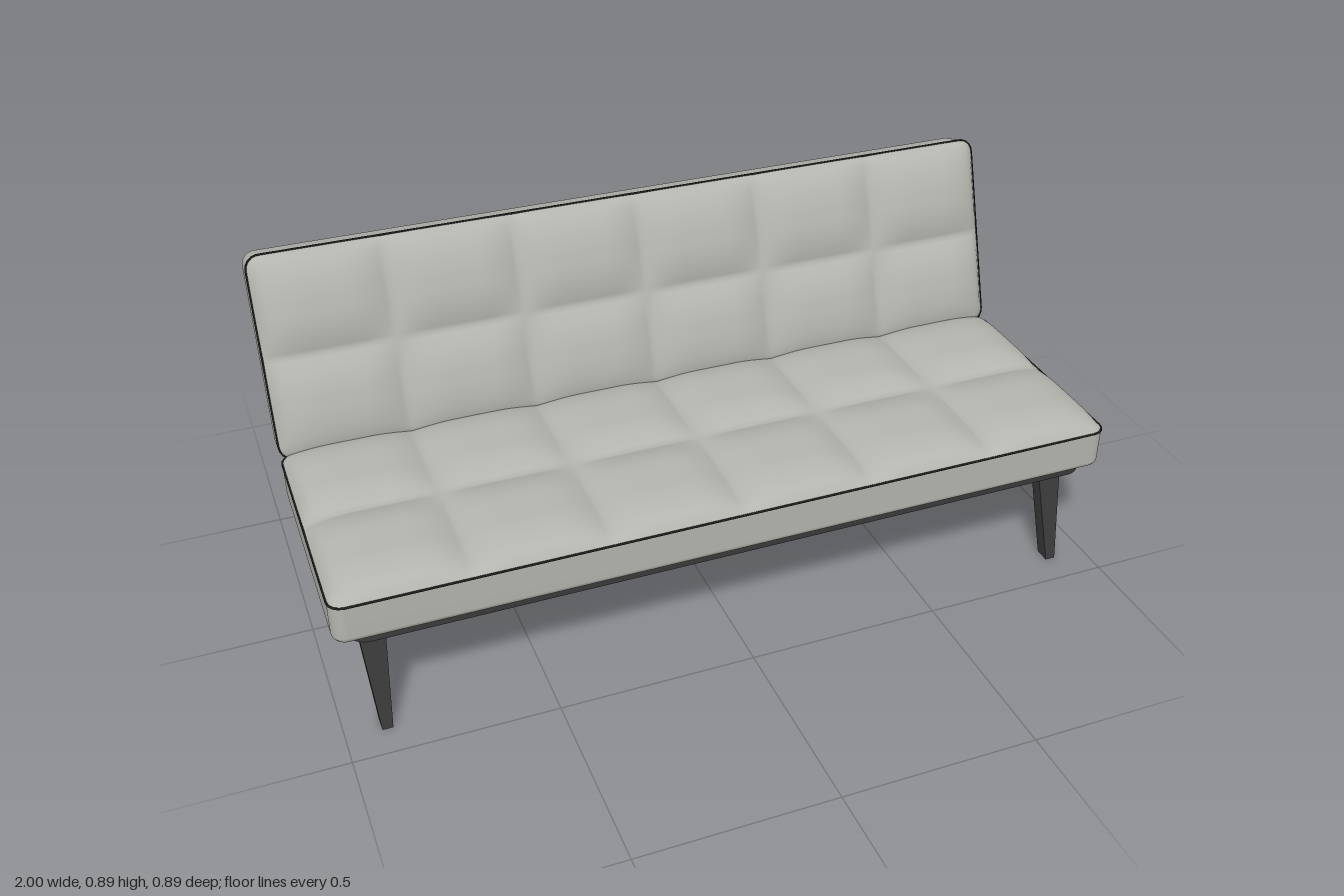
import * as THREE from 'three';
import { toCreasedNormals } from 'three/addons/utils/BufferGeometryUtils.js';

const W = 0.997;      // cushion half width
const R = 0.035;      // cushion corner radius in plan
const THICK = 0.105;  // cushion thickness below the piping

// Rounded rectangle centred on the origin, from half sizes
function roundedRect(a, b, r) {
  const s = new THREE.Shape();
  s.absarc(a - r, b - r, r, 0, Math.PI / 2);
  s.absarc(-a + r, b - r, r, Math.PI / 2, Math.PI);
  s.absarc(-a + r, -b + r, r, Math.PI, Math.PI * 1.5);
  s.absarc(a - r, -b + r, r, Math.PI * 1.5, Math.PI * 2);
  return s;
}

function outline(a, b, r) {
  const pts = roundedRect(a, b, r).getPoints(8);
  if (pts[0].distanceTo(pts[pts.length - 1]) < 1e-5) pts.pop();
  return pts;
}

// Boxed cushion side wall and bottom, lofted from rounded outlines
function cushionBoxGeometry(D) {
  const rings = [[0, 0], [0, -THICK + 0.018]];
  for (let i = 1; i <= 4; i++) {
    const t = i / 4 * Math.PI / 2;
    rings.push([0.018 * (1 - Math.cos(t)), -THICK + 0.018 * (1 - Math.sin(t))]);
  }
  rings.push(rings[rings.length - 1]); // repeated ring keeps the bottom flat
  const pos = [], idx = [];
  let n = 0;
  for (const [inset, y] of rings) {
    const pts = outline(W - inset, D - inset, R - inset);
    n = pts.length;
    for (const p of pts) pos.push(p.x, y, p.y);
  }
  for (let k = 0; k < rings.length - 1; k++) {
    for (let i = 0; i < n; i++) {
      const j = (i + 1) % n, a = k * n + i, b = k * n + j;
      idx.push(a, b, a + n, b, b + n, a + n);
    }
  }
  const last = (rings.length - 1) * n, centre = pos.length / 3;
  pos.push(0, -THICK, 0);
  for (let i = 0; i < n; i++) idx.push(last + i, last + (i + 1) % n, centre);
  const g = new THREE.BufferGeometry();
  g.setAttribute('position', new THREE.Float32BufferAttribute(pos, 3));
  g.setIndex(idx);
  g.computeVertexNormals();
  return g;
}

// Tufted face: six columns and two rows of soft bulges between seams
function tuftedGeometry(D) {
  const g = new THREE.PlaneGeometry(2 * W, 2 * D, 144, 48).rotateX(-Math.PI / 2);
  const p = g.attributes.position;
  const edge = (d) => Math.sqrt(1 - (1 - Math.min(Math.max(d, 0) / 0.13, 1)) ** 2);
  const dip = (d) => Math.max(0, 1 - d / 0.11) ** 2;
  for (let i = 0; i < p.count; i++) {
    let x = p.getX(i), z = p.getZ(i);
    const cell = W / 3;
    const k = Math.max(-2, Math.min(2, Math.round(x / cell)));
    const dx = dip(Math.abs(x - k * cell)), dz = dip(Math.abs(z));
    const env = edge(W - Math.abs(x)) * edge(D - Math.abs(z));
    const h = env * (0.045 - 0.024 * (dx + dz - dx * dz));
    // pull the square corners onto the rounded outline
    const u = (Math.abs(x) - W + R) / R, v = (Math.abs(z) - D + R) / R;
    if (u > 0 && v > 0) {
      x = Math.sign(x) * (W - R + R * u * Math.sqrt(1 - v * v / 2));
      z = Math.sign(z) * (D - R + R * v * Math.sqrt(1 - u * u / 2));
    }
    p.setXYZ(i, x, h, z);
  }
  g.computeVertexNormals();
  return g;
}

function pipingGeometry(D) {
  const pts = outline(W, D, R).map((p) => new THREE.Vector3(p.x, 0, p.y));
  const path = new THREE.CurvePath();
  pts.forEach((p, i) => path.add(new THREE.LineCurve3(p, pts[(i + 1) % pts.length])));
  return new THREE.TubeGeometry(path, 400, 0.003, 6, true);
}

// Side profile drawn as (z, y), given a width in x that depends on height
function legGeometry(shape, halfWidth) {
  const g = new THREE.ExtrudeGeometry(shape, { depth: 1, bevelEnabled: false, curveSegments: 16 });
  g.rotateY(-Math.PI / 2);
  const p = g.attributes.position;
  for (let i = 0; i < p.count; i++) {
    p.setX(i, (p.getX(i) + 0.5) * 2 * halfWidth(p.getY(i)));
  }
  return toCreasedNormals(g, 0.5);
}

export function createModel() {
  const fabric = new THREE.MeshStandardMaterial({ color: 0xb4b5ae });
  fabric.name = 'grey fabric';
  const flapFabric = fabric;
  const dark = new THREE.MeshStandardMaterial({ color: 0x3a3a3a });
  dark.name = 'dark wood';
  const black = new THREE.MeshStandardMaterial({ color: 0x1c1c1c });
  black.name = 'black piping';

  const model = new THREE.Group();
  model.name = 'sofaBed';
  const add = (parent, name, geometry, material) => {
    const m = new THREE.Mesh(geometry, material);
    m.name = name;
    parent.add(m);
    return m;
  };

  // Seat and backrest share one cushion design
  const cushion = (name, D, y, z, tilt) => {
    const g = new THREE.Group();
    g.name = name;
    add(g, name + 'Box', cushionBoxGeometry(D), fabric);
    add(g, name + 'TuftedFace', tuftedGeometry(D), fabric);
    add(g, name + 'Piping', pipingGeometry(D), black);
    g.position.set(0, y, z);
    g.rotation.x = tilt;
    model.add(g);
  };
  cushion('seat', 0.321, 0.4, 0.122, 0);
  cushion('backrest', 0.259, 0.642, -0.27, THREE.MathUtils.degToRad(72));

  // Fabric flap closing the gap between seat and backrest
  const arc = new THREE.QuadraticBezierCurve(
    new THREE.Vector2(-0.198, 0.336), new THREE.Vector2(-0.232, 0.334), new THREE.Vector2(-0.245, 0.376));
  const flapShape = new THREE.Shape([...arc.getPoints(10),
    ...arc.getPoints(10).reverse().map((p) => new THREE.Vector2(p.x + 0.002, p.y + 0.003))]);
  add(model, 'hingeFlap', legGeometry(flapShape, () => 0.95), flapFabric);

  // Base board
  const board = new THREE.ExtrudeGeometry(roundedRect(0.96, 0.418, 0.05),
    { depth: 0.019, bevelEnabled: false, curveSegments: 8 });
  board.rotateX(-Math.PI / 2).translate(0, 0.275, 0.007);
  add(model, 'baseBoard', toCreasedNormals(board, 0.5), dark);

  // Straight raked front legs
  const front = new THREE.Shape();
  front.moveTo(0.38, 0).lineTo(0.42, 0).lineTo(0.353, 0.276).lineTo(0.315, 0.276).closePath();
  const frontGeo = legGeometry(front, (y) => 0.013 + 0.019 * y / 0.25);

  // Curved rear legs with a flat mounting foot under the board
  const rear = new THREE.Shape();
  rear.moveTo(0.05, 0.276);
  rear.lineTo(0, 0.245);
  rear.lineTo(-0.17, 0.245);
  rear.bezierCurveTo(-0.27, 0.243, -0.372, 0.15, -0.388, 0);
  rear.lineTo(-0.425, 0);
  rear.bezierCurveTo(-0.402, 0.16, -0.32, 0.265, -0.2, 0.276);
  rear.closePath();
  const rearGeo = legGeometry(rear, (y) => 0.013 + 0.035 * (y / 0.275) ** 3);

  for (const [side, s] of [['left', 1], ['right', -1]]) {
    add(model, side + 'FrontLeg', frontGeo, dark).position.x = s * 0.9;
    add(model, side + 'RearLeg', rearGeo, dark).position.x = s * 0.9;
  }
  return model;
}
